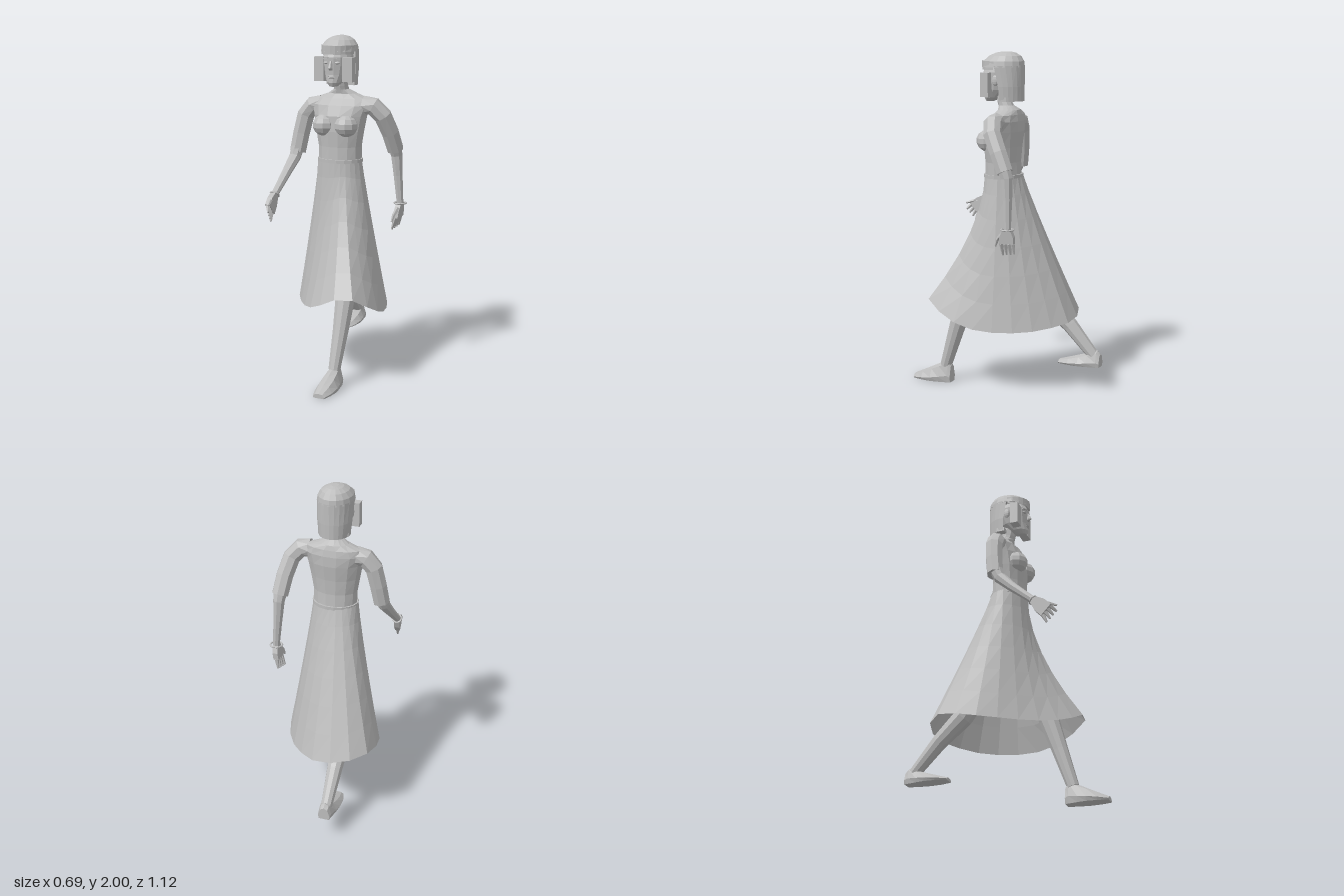
import * as THREE from 'three';

const V = (x, y, z) => new THREE.Vector3(x, y, z);
const lerp = THREE.MathUtils.lerp;

// Separate the faces so that every facet is flat
function facet(g) {
  const f = g.toNonIndexed();
  f.computeVertexNormals();
  return f;
}

// Faceted surface through a list of equal-length rings
function skin(rings, closed = true, caps = true) {
  const n = rings[0].length, pos = rings.flat().flatMap(p => [p.x, p.y, p.z]), idx = [];
  for (let i = 0; i < rings.length - 1; i++)
    for (let j = 0; j < (closed ? n : n - 1); j++) {
      const a = i * n + j, b = i * n + (j + 1) % n;
      idx.push(a, b, b + n, a, b + n, a + n);
    }
  const last = (rings.length - 1) * n;
  if (caps) for (let j = 1; j < n - 1; j++) idx.push(0, j + 1, j, last, last + j, last + j + 1);
  const g = new THREE.BufferGeometry();
  g.setAttribute('position', new THREE.Float32BufferAttribute(pos, 3));
  g.setIndex(idx);
  return facet(g);
}

// Level elliptical sections [y, z, radiusX, radiusZ] stacked upward; an arc leaves the shell open
function stack(sections, n, from = 0, arc = Math.PI * 2) {
  const closed = arc > 6.28;
  return skin(sections.map(([y, z, rx, rz]) => Array.from({ length: closed ? n : n + 1 }, (_, j) => {
    const a = from + arc * j / n;
    return V(rx * Math.cos(a), y, z - rz * Math.sin(a));
  })), closed, closed);
}

// Tapering limb along points, with rings square to the path
function limb(points, r0, r1, n = 8) {
  const c = points.map(p => V(...p)), end = c.length - 1;
  return skin(c.map((p, i) => {
    const t = c[Math.min(i + 1, end)].clone().sub(c[Math.max(i - 1, 0)]).normalize();
    const u = V(1, 0, 0).addScaledVector(t, -t.x).normalize(), v = t.clone().cross(u);
    const r = lerp(r0, r1, i / end);
    return Array.from({ length: n }, (_, j) => {
      const a = Math.PI * 2 * j / n;
      return p.clone().addScaledVector(u, r * Math.cos(a)).addScaledVector(v, r * Math.sin(a));
    });
  }));
}

export function createModel() {
  const root = new THREE.Group();
  const grey = new THREE.MeshStandardMaterial({ color: 0xbdbdbd, side: THREE.DoubleSide });
  grey.name = 'plain grey';
  const group = (name, x = 0) => {
    const g = new THREE.Group();
    g.name = name;
    g.position.x = x;
    root.add(g);
    return g;
  };
  const add = (name, geo, parent) => {
    const m = new THREE.Mesh(geo, grey);
    m.name = name;
    parent.add(m);
    return m;
  };
  const ball = (name, pos, size, parent) => {
    const m = add(name, facet(new THREE.SphereGeometry(1, 10, 7)), parent);
    m.position.set(...pos);
    m.scale.set(...size);
    return m;
  };
  const box = (name, pos, size, parent) => {
    const m = add(name, new THREE.BoxGeometry(...size), parent);
    m.position.set(...pos);
    return m;
  };

  // Bodice, bust and neck
  const torso = group('torso', -.012);
  add('bodice', stack([
    [1.26, .018, .13, .105], [1.36, .02, .132, .1], [1.45, .02, .148, .105], [1.54, .012, .165, .108],
    [1.6, 0, .185, .095], [1.638, -.015, .165, .072], [1.665, -.018, .09, .06], [1.69, .002, .046, .046],
  ], 14), torso);
  add('neck', stack([[1.66, -.01, .05, .05], [1.71, .01, .042, .044], [1.78, .02, .042, .046]], 10), torso);
  add('waistband', stack([[1.268, .018, .137, .112], [1.288, .018, .137, .112]], 18), torso);
  for (const s of [-1, 1]) ball('bust', [s * .07, 1.485, .085], [.07, .065, .072], torso);

  // Skirt: a closed hem curve, spread from a round waist by the stride
  const hem = new THREE.CatmullRomCurve3([
    V(-.01, .42, -.4), V(.19, .39, -.21), V(.295, .4, .075), V(.305, .46, .25), V(.225, .55, .41),
    V(.13, .535, .41), V(-.02, .46, .352), V(-.176, .42, .194), V(-.322, .43, -.06),
    V(-.325, .47, -.28), V(-.257, .46, -.37), V(-.1, .43, -.415),
  ], true).getSpacedPoints(20).slice(0, 20);
  const waist = V(-.015, 1.28, .018);
  add('skirt', skin([0, .12, .28, .46, .64, .82, 1].map(t => hem.map(p => {
    const a = Math.atan2(p.z - waist.z, p.x - waist.x);
    const spread = Math.pow(t, 1.08 + .8 * Math.max(0, Math.sin(a)));
    const q = waist.clone().add(V(.135 * Math.cos(a), 0, .108 * Math.sin(a)));
    return V(lerp(q.x, p.x, spread), lerp(q.y, p.y, t), lerp(q.z, p.z, spread));
  })), true, false), root);

  // Head and features
  const head = group('head', -.014);
  add('face', stack([
    [1.712, .105, .022, .025], [1.735, .085, .046, .056], [1.78, .055, .068, .083], [1.83, .042, .08, .099],
    [1.88, .04, .084, .104], [1.96, .025, .06, .08],
  ], 14), head);
  add('nose', stack([[1.805, .138, .011, .01], [1.818, .145, .013, .02], [1.86, .135, .007, .01]], 6), head);
  for (const y of [1.771, 1.762]) ball('lip', [0, y, .134], [.022, .006, .011], head);
  for (const s of [-1, 1]) {
    ball('eye', [s * .034, 1.848, .128], [.017, .008, .012], head);
    box('brow', [s * .036, 1.872, .133], [.04, .006, .009], head).rotation.set(0, s * .4, s * -.12);
    ball('ear', [s * .088, 1.835, .033], [.012, .032, .02], head);
    box('sideLock', [s * .09, 1.81, .09], [.062, .14, .05], head);
    box('hairTip', [s * .07, 1.727, -.01], [.04, .025, .05], head);
  }

  // Bobbed hair: crown cap, back curtain and fringe
  add('crownHair', stack([
    [1.91, .02, .106, .128], [1.945, .018, .1, .122], [1.975, .01, .078, .096],
    [1.993, .004, .048, .06], [2, 0, .02, .026],
  ], 16), head);
  add('backHair', stack([[1.715, -.005, .09, .1], [1.8, -.002, .099, .105], [1.92, .02, .105, .127]],
    12, -.12, Math.PI + .24), head);
  add('fringe', stack([[1.895, .03, .1, .118], [1.945, .024, .1, .126]], 10, Math.PI + .1, Math.PI - .2), head);

  // Arm: sleeve, forearm, flat palm, four fanned fingers, thumb and bracelet
  function buildArm(name, { sleeve, forearm, knuckles, tips, thumb, ringRadius, ringTilt }) {
    const arm = group(name);
    add('sleeve', limb(sleeve, .056, .05), arm);
    add('forearm', limb(forearm, .043, .021), arm);
    const wrist = V(...forearm.at(-1)), [k0, k1] = knuckles.map(p => V(...p)), [t0, t1] = tips.map(p => V(...p));
    const side = k1.clone().sub(k0).normalize(), out = V(.016, 0, 0);
    const slab = (c, w) => [[-1, -1], [1, -1], [1, 1], [-1, 1]].map(([a, b]) =>
      c.clone().addScaledVector(out, a).addScaledVector(side, b * w));
    const mid = k0.clone().lerp(k1, .5);
    add('palm', skin([slab(wrist, .022), slab(wrist.clone().lerp(mid, .5), .042), slab(mid, .044)]), arm);
    for (let i = 0; i < 4; i++) {
      const a = k0.clone().lerp(k1, i / 3), b = t0.clone().lerp(t1, i / 3);
      add('finger', limb([a, a.clone().lerp(b, .6), b].map(p => p.toArray()), .013, .006, 5), arm);
    }
    add('thumb', limb(thumb, .015, .006, 5), arm);
    const ring = add('bracelet', facet(new THREE.TorusGeometry(ringRadius, .005, 6, 16)), arm);
    ring.position.copy(wrist);
    ring.rotation.x = ringTilt;
  }
  buildArm('rightArm', {
    sleeve: [[-.14, 1.595, -.005], [-.2, 1.585, 0], [-.245, 1.53, .005], [-.27, 1.42, .015], [-.288, 1.31, .03]],
    forearm: [[-.285, 1.36, .025], [-.292, 1.28, .06], [-.305, 1.2, .14], [-.317, 1.085, .27]],
    knuckles: [[-.306, 1.035, .37], [-.308, .985, .325]], tips: [[-.288, 1.005, .4], [-.303, .94, .345]],
    thumb: [[-.312, 1.06, .315], [-.3, 1.06, .355], [-.285, 1.045, .402]],
    ringRadius: .026, ringTilt: Math.PI / 4,
  });
  buildArm('leftArm', {
    sleeve: [[.13, 1.6, 0], [.19, 1.595, -.005], [.24, 1.54, -.025], [.266, 1.44, -.075], [.28, 1.335, -.122]],
    forearm: [[.278, 1.37, -.11], [.283, 1.3, -.135], [.29, 1.18, -.142], [.302, 1.012, -.147]],
    knuckles: [[.292, .93, -.104], [.292, .93, -.176]], tips: [[.268, .858, -.105], [.28, .87, -.18]],
    thumb: [[.3, .985, -.115], [.29, .95, -.08], [.283, .91, -.064]],
    ringRadius: .036, ringTilt: Math.PI / 2,
  });

  // Shoe: one rounded outline scaled along its length over a flat sole
  function shoe(x, y, heel, toe, height) {
    return skin([0, .08, .3, .5, .75, .92, 1].map(t => {
      const w = .036 + .024 * Math.sin(Math.PI * Math.pow(t, 1.2));
      const h = height * (t < .08 ? .7 : lerp(1, .17, Math.pow(t, .9)));
      return [[-.85, 0], [.85, 0], [1, .3], [.6, .85], [0, 1], [-.6, .85], [-1, .3]]
        .map(([px, py]) => V(x + px * w, y + py * h, lerp(heel, toe, t)));
    }));
  }

  // Striding legs, from hip to ankle
  const leftLeg = group('leftLeg'), rightLeg = group('rightLeg');
  add('leg', limb([[.065, 1, .03], [.1, .76, .13], [.117, .52, .215], [.115, .33, .277], [.108, .1, .352]],
    .084, .035, 10), leftLeg);
  add('shoe', shoe(.11, 0, .31, .56, .155), leftLeg);
  add('leg', limb([[-.08, 1, .01], [-.118, .75, -.065], [-.137, .5, -.225], [-.14, .37, -.365], [-.14, .2, -.515]],
    .084, .034, 10), rightLeg);
  add('shoe', shoe(-.138, .135, -.56, -.3, .11), rightLeg);
  return root;
}
